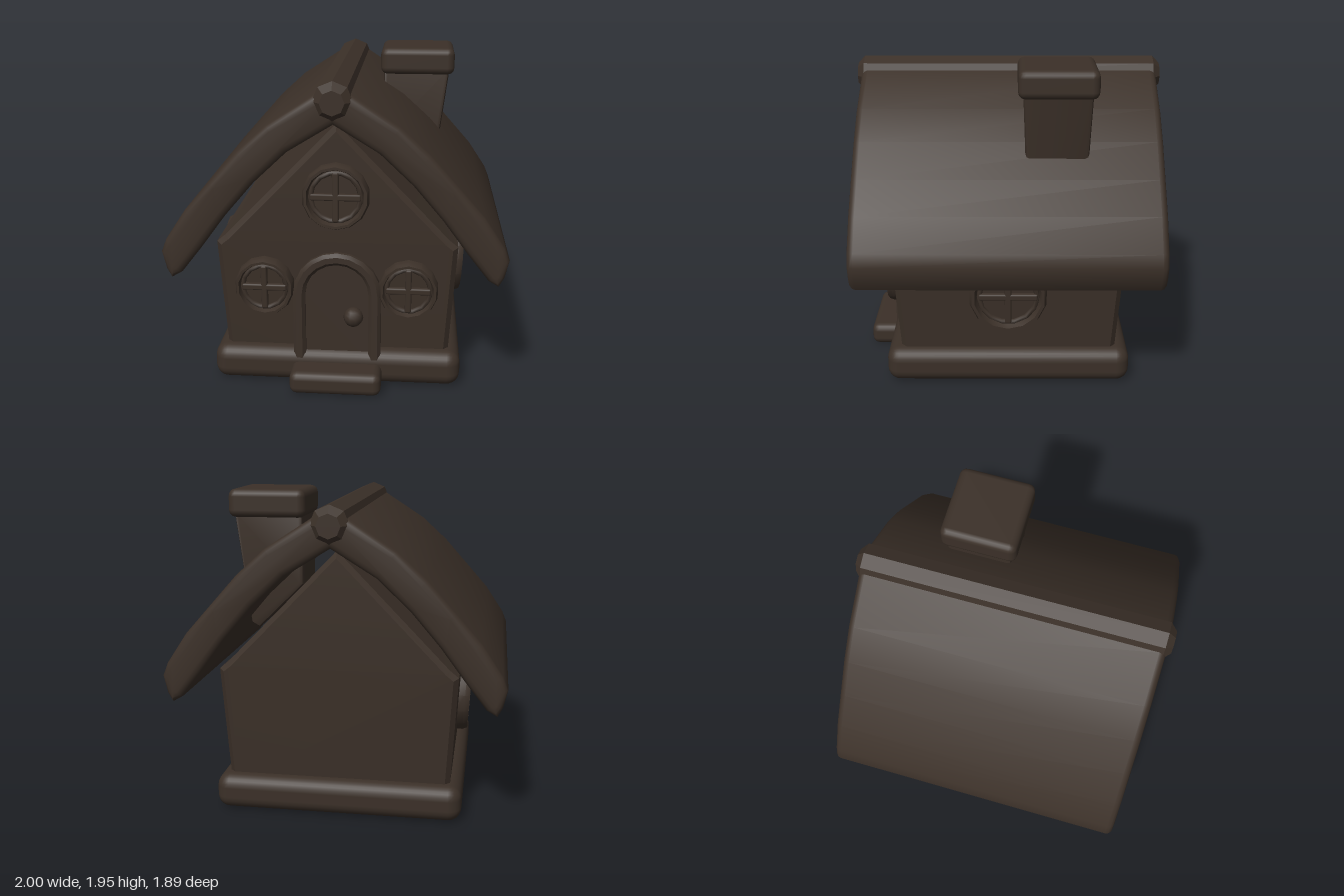
import * as THREE from 'three';
import { toCreasedNormals } from 'three/addons/utils/BufferGeometryUtils.js';
import { RoundedBoxGeometry } from 'three/addons/geometries/RoundedBoxGeometry.js';

const material = new THREE.MeshStandardMaterial({ color: 0x3b3028 });

function add(parent, name, geometry, x = 0, y = 0, z = 0) {
  const mesh = new THREE.Mesh(geometry, material);
  mesh.name = name;
  mesh.position.set(x, y, z);
  parent.add(mesh);
  return mesh;
}

const outline = (pts) => new THREE.Shape(pts.map(([x, y]) => new THREE.Vector2(x, y)));

// Outline mirrored across x = 0 from its right half
const mirrored = (half) => outline([...half, ...half.filter(([x]) => x > 0).reverse().map(([x, y]) => [-x, y])]);

// Extrusion centred on z = 0 whose bevel stays inside the outline and total depth
function slab(shape, depth, bevel, segments = 2, crease = 0.7) {
  const g = new THREE.ExtrudeGeometry(shape, {
    depth: depth - 2 * bevel, bevelThickness: bevel, bevelSize: bevel,
    bevelOffset: -bevel, bevelSegments: segments, curveSegments: 8,
  });
  g.translate(0, 0, bevel - depth / 2);
  return toCreasedNormals(g, crease);
}

// Points of an arch from right foot, over the top, to left foot
function arch(halfWidth, foot, spring) {
  const pts = [[halfWidth, foot]];
  for (let i = 0; i <= 10; i++) {
    const a = (i / 10) * Math.PI;
    pts.push([halfWidth * Math.cos(a), spring + halfWidth * Math.sin(a)]);
  }
  pts.push([-halfWidth, foot]);
  return pts;
}

// Round window facing +z with a chamfered rim, inner sash and cross bars
function roundWindow(name, r) {
  const group = new THREE.Group();
  group.name = name;
  const profile = [[1, -0.03], [1, 0.035], [0.94, 0.065], [0.86, 0.065], [0.79, 0.025], [0, 0.025]];
  const rim = new THREE.LatheGeometry(profile.map(([a, h]) => new THREE.Vector2(a * r, h)), 14);
  rim.rotateX(Math.PI / 2);
  add(group, 'windowRim', toCreasedNormals(rim, 0.5));
  add(group, 'windowSash', new THREE.TorusGeometry(r * 0.74, 0.016, 6, 14), 0, 0, 0.03);
  add(group, 'crossBarUpright', new RoundedBoxGeometry(0.04, r * 1.5, 0.045, 1, 0.01), 0, 0, 0.03);
  add(group, 'crossBarLevel', new RoundedBoxGeometry(r * 1.5, 0.04, 0.045, 1, 0.01), 0, 0, 0.03);
  return group;
}

export function createModel() {
  const house = new THREE.Group();
  house.name = 'cottage';

  // Plinth and doorstep
  add(house, 'base', new RoundedBoxGeometry(1.51, 0.22, 1.5, 3, 0.08), 0, 0.11, 0);
  add(house, 'doorstep', new RoundedBoxGeometry(0.55, 0.14, 0.36, 2, 0.045), 0.005, 0.073, 0.73);

  // Walls with gables, flaring outward from the base to the eaves
  const walls = slab(mirrored([[0.675, 0.1], [0.72, 0.89], [0.665, 0.935], [0, 1.62]]), 2, 0.03, 1, 0.4);
  const p = walls.attributes.position;
  for (let i = 0; i < p.count; i++) {
    const y = p.getY(i);
    const halfDepth = y < 0.9 ? 0.655 + 0.05 * (y - 0.1) / 0.8 : 0.705 - 0.015 * (y - 0.9) / 0.72;
    const z = p.getZ(i);
    p.setZ(i, Math.sign(z) * (halfDepth - (1 - Math.abs(z))));
  }
  walls.deleteAttribute('normal');
  walls.computeVertexNormals();
  add(house, 'walls', toCreasedNormals(walls, 0.4));

  // Bowed roof, thick and rounded at the eaves
  const roof = mirrored([
    [0, 1.66], [0.26, 1.5], [0.45, 1.32], [0.62, 1.12], [0.76, 0.93], [0.885, 0.77], [0.945, 0.735],
    [0.975, 0.79], [1, 0.895], [0.97, 0.97], [0.85, 1.15], [0.7, 1.32], [0.54, 1.5], [0.37, 1.655], [0.1, 1.83], [0, 1.87],
  ]);
  add(house, 'roof', slab(roof, 1.83, 0.04, 3, 0.8));

  // Eight-sided ridge beam with chamfered ends
  const beam = new THREE.LatheGeometry(
    [[0, -0.943], [0.07, -0.943], [0.115, -0.9], [0.115, 0.9], [0.07, 0.943], [0, 0.943]]
      .map(([r, h]) => new THREE.Vector2(r, h)), 8);
  beam.rotateX(Math.PI / 2);
  add(house, 'ridgeBeam', toCreasedNormals(beam, 0.5), 0, 1.79, 0);

  // Chimney shaft cut along the roof slope, with a heavy cap
  const shaft = outline([[0.24, 1.82], [0.66, 1.82], [0.575, 1.13], [0.525, 1.1], [0.24, 1.38]]);
  const shaftGeometry = slab(shaft, 0.4, 0.025, 2);
  const sp = shaftGeometry.attributes.position;
  for (let i = 0; i < sp.count; i++) sp.setZ(i, sp.getZ(i) * (1 - 0.17 * (1.82 - sp.getY(i))));
  add(house, 'chimneyShaft', shaftGeometry, 0, 0, -0.287);
  add(house, 'chimneyCap', new RoundedBoxGeometry(0.47, 0.17, 0.465, 2, 0.045), 0.455, 1.867, -0.288);

  // Arched door, its frame and knob
  add(house, 'door', slab(outline(arch(0.2, 0.14, 0.58)), 0.1, 0.01, 1), 0.005, 0, 0.66);
  const frame = outline([...arch(0.265, 0.14, 0.585), ...arch(0.19, 0.14, 0.585).reverse()]);
  add(house, 'doorFrame', slab(frame, 0.14, 0.02, 1), 0.005, 0, 0.675);
  add(house, 'doorKnob', new THREE.SphereGeometry(0.06, 10, 8), 0.105, 0.445, 0.727);

  // Front windows
  const gable = roundWindow('gableWindow', 0.2);
  gable.position.set(0, 1.2, 0.7);
  house.add(gable);
  for (const side of [-1, 1]) {
    const front = roundWindow('frontWindow', 0.187);
    front.scale.x = 0.96;
    front.position.set(0.432 * side, 0.625, 0.688);
    front.rotation.x = 0.06;
    house.add(front);

    // Side windows, leaning with the walls
    const lateral = roundWindow('sideWindow', 0.238);
    lateral.position.set(0.708 * side, 0.595, 0);
    lateral.rotation.set(0.057, side * Math.PI / 2, 0, 'YXZ');
    house.add(lateral);
  }
  return house;
}
